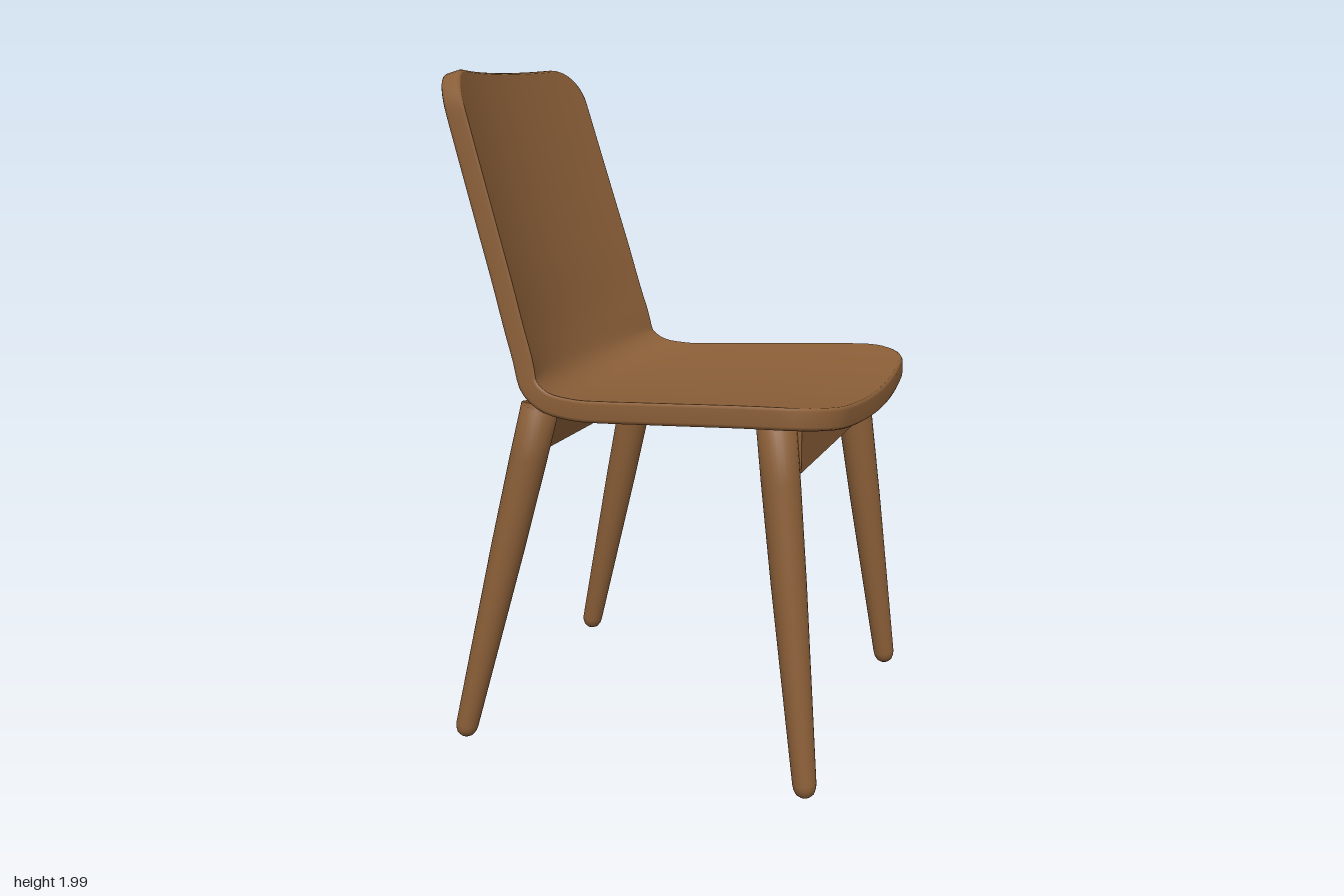
import * as THREE from 'three';

const wood = new THREE.MeshStandardMaterial({ color: 0x8b5f38 });
wood.name = 'brown wood';

const THICK = 0.063;

// Centre line of the shell's sitting surface, from front lip to top of the back
const profile = new THREE.CatmullRomCurve3([
  [0.64, 1.078], [0.4, 1.072], [0.1, 1.058], [-0.15, 1.048], [-0.25, 1.053],
  [-0.315, 1.09], [-0.355, 1.18], [-0.42, 1.41], [-0.5, 1.69], [-0.585, 1.99],
].map(([x, y]) => new THREE.Vector3(x, y, 0)), false, 'centripetal');
profile.arcLengthDivisions = 600;
const LENGTH = profile.getLength();

// Half width of the shell against distance along the profile
const widths = [[0, 0.53], [0.2, 0.525], [0.64, 0.51], [0.74, 0.503], [0.84, 0.49],
  [0.95, 0.477], [1.1, 0.468], [1.8, 0.44], [2.2, 0.43]];
function halfWidth(s) {
  const i = Math.max(1, widths.findIndex((w) => w[0] > s));
  const [a, b] = [widths[i - 1], widths[i]];
  return THREE.MathUtils.mapLinear(s, a[0], b[0], a[1], b[1]);
}

const ROWS = 64, COLS = 36;

// 0 along the middle of an end, rising to 1 round the corner at the side
function cornerRound(u) {
  const k = THREE.MathUtils.clamp((Math.abs(u) - 0.7) / 0.3, 0, 1);
  return 1 - Math.sqrt(1 - k * k);
}

// Point on the shell at a row and column, sunk by depth and drawn in from the rim by inset
function shellPoint(row, col, depth, inset) {
  const u = Math.sin((col / COLS - 0.5) * Math.PI);
  const start = 0.035 * u * u + 0.13 * cornerRound(u) + inset;
  const end = LENGTH - 0.12 * cornerRound(u) - inset;
  const s = THREE.MathUtils.lerp(start, end, row / ROWS);
  const f = THREE.MathUtils.clamp(s / LENGTH, 0, 1);
  const p = profile.getPointAt(f);
  const t = profile.getTangentAt(f);
  const z = u * (halfWidth(s) - inset);
  // dished seat, more strongly curved backrest
  const dish = THREE.MathUtils.lerp(0.036, 0.088, THREE.MathUtils.smoothstep(s, 0.75, 1.1));
  const lift = dish * (z / 0.5) ** 2 - depth;
  return [p.x + t.y * lift, p.y - t.x * lift, z];
}

// Grid of points turned into a smooth surface
function gridGeometry(rows, cols, point, flip) {
  const pos = [], index = [];
  for (let i = 0; i <= rows; i++) {
    for (let j = 0; j <= cols; j++) pos.push(...point(i, j));
  }
  for (let i = 0; i < rows; i++) {
    for (let j = 0; j < cols; j++) {
      const a = i * (cols + 1) + j, b = a + cols + 1;
      if (flip) index.push(a, a + 1, b, b, a + 1, b + 1);
      else index.push(a, b, a + 1, b, b + 1, a + 1);
    }
  }
  const g = new THREE.BufferGeometry();
  g.setAttribute('position', new THREE.Float32BufferAttribute(pos, 3));
  g.setIndex(index);
  g.computeVertexNormals();
  return g;
}

function addMesh(parent, name, geometry) {
  const mesh = new THREE.Mesh(geometry, wood);
  mesh.name = name;
  parent.add(mesh);
  return mesh;
}

function createShell() {
  const shell = new THREE.Group();
  shell.name = 'seatShell';
  const inset = 0.008;
  addMesh(shell, 'shellInnerFace', gridGeometry(ROWS, COLS, (i, j) => shellPoint(i, j, 0, inset), false));
  addMesh(shell, 'shellOuterFace', gridGeometry(ROWS, COLS, (i, j) => shellPoint(i, j, THICK, inset), true));

  // rim with softened edges, running once round the outline
  const loop = [];
  for (let i = 0; i < ROWS; i++) loop.push([i, 0]);
  for (let j = 0; j < COLS; j++) loop.push([ROWS, j]);
  for (let i = ROWS; i > 0; i--) loop.push([i, COLS]);
  for (let j = COLS; j >= 0; j--) loop.push([0, j]);
  const rings = [[0, inset], [0.05, 0.003], [0.16, 0], [0.84, 0], [0.95, 0.003], [1, inset]];
  addMesh(shell, 'shellRim', gridGeometry(rings.length - 1, loop.length - 1,
    (r, k) => shellPoint(...loop[k], rings[r][0] * THICK, rings[r][1]), false));
  return shell;
}

// Tapered round leg with a rounded foot, from foot to top
function addLeg(parent, name, foot, top) {
  const start = new THREE.Vector3(...foot);
  const axis = new THREE.Vector3(...top).sub(start);
  const len = axis.length();
  const outline = [[0, 0], [0.014, 0.002], [0.025, 0.01], [0.032, 0.025], [0.034, 0.04],
    [0.05, len * 0.58], [0.055, len * 0.85], [0.056, len - 0.001], [0, len]];
  const leg = addMesh(parent, name,
    new THREE.LatheGeometry(outline.map(([r, y]) => new THREE.Vector2(r, y)), 28));
  leg.position.copy(start);
  leg.quaternion.setFromUnitVectors(new THREE.Vector3(0, 1, 0), axis.normalize());
}

export function createModel() {
  const chair = new THREE.Group();
  chair.name = 'chair';
  chair.add(createShell());

  // splayed legs, mirrored across the chair
  for (const [side, m] of [['A', 1], ['B', -1]]) {
    addLeg(chair, 'frontLeg' + side, [0.565, 0.004, 0.527 * m], [0.438, 1.04, 0.43 * m]);
    addLeg(chair, 'rearLeg' + side, [-0.522, 0.004, 0.49 * m], [-0.278, 1.04, 0.42 * m]);
  }

  // rails joining each pair of legs under the seat
  const frontRail = addMesh(chair, 'frontRail', new THREE.BoxGeometry(0.045, 0.12, 0.84));
  frontRail.position.set(0.485, 0.97, 0);
  const rearRail = addMesh(chair, 'rearRail', new THREE.BoxGeometry(0.045, 0.12, 0.82));
  rearRail.position.set(-0.295, 0.962, 0);
  rearRail.rotation.z = -0.23;
  return chair;
}
